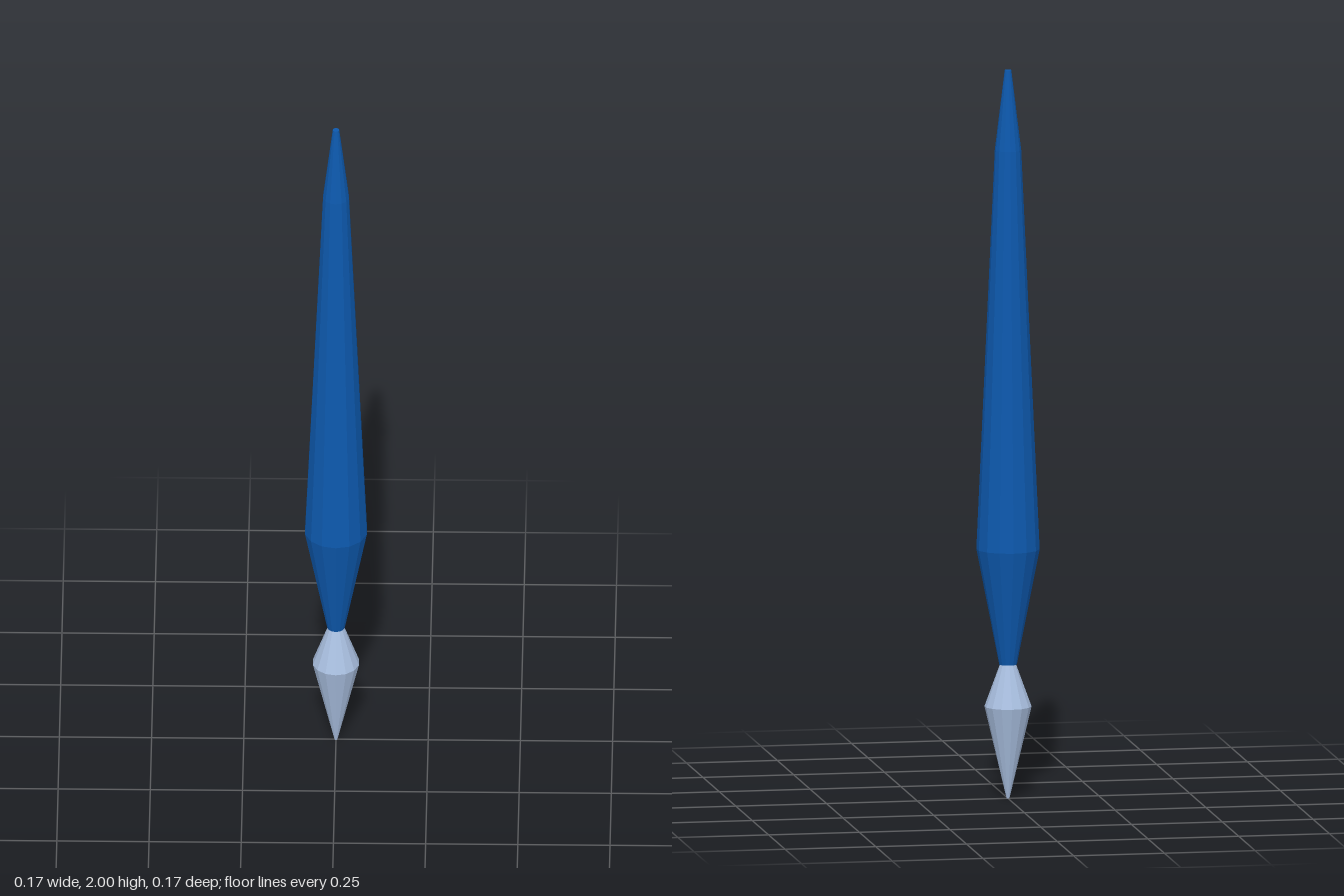
import * as THREE from 'three';

const SIDES = 14;

// Closed faceted solid turned around y from [radius, height] pairs, bottom to top
function turned(name, profile, material) {
  const points = profile.map(([r, y]) => new THREE.Vector2(r, y));
  const mesh = new THREE.Mesh(new THREE.LatheGeometry(points, SIDES), material);
  mesh.name = name;
  return mesh;
}

export function createModel() {
  const blue = new THREE.MeshStandardMaterial({ color: 0x0d59ae, flatShading: true });
  blue.name = 'blue';
  const silver = new THREE.MeshStandardMaterial({ color: 0xa9bfe0, flatShading: true });
  silver.name = 'pale steel';

  const group = new THREE.Group();
  group.name = 'taperedSpike';

  // Double-tapered pale point at the foot
  group.add(turned('lowerPoint', [
    [0, 0], [0.004, 0], [0.064, 0.253], [0.022, 0.368], [0, 0.368],
  ], silver));

  // Long blue body with a low shoulder and a blunt tip
  group.add(turned('body', [
    [0, 0.368], [0.024, 0.368], [0.086, 0.685], [0.036, 1.78], [0.009, 2], [0, 2],
  ], blue));

  return group;
}
